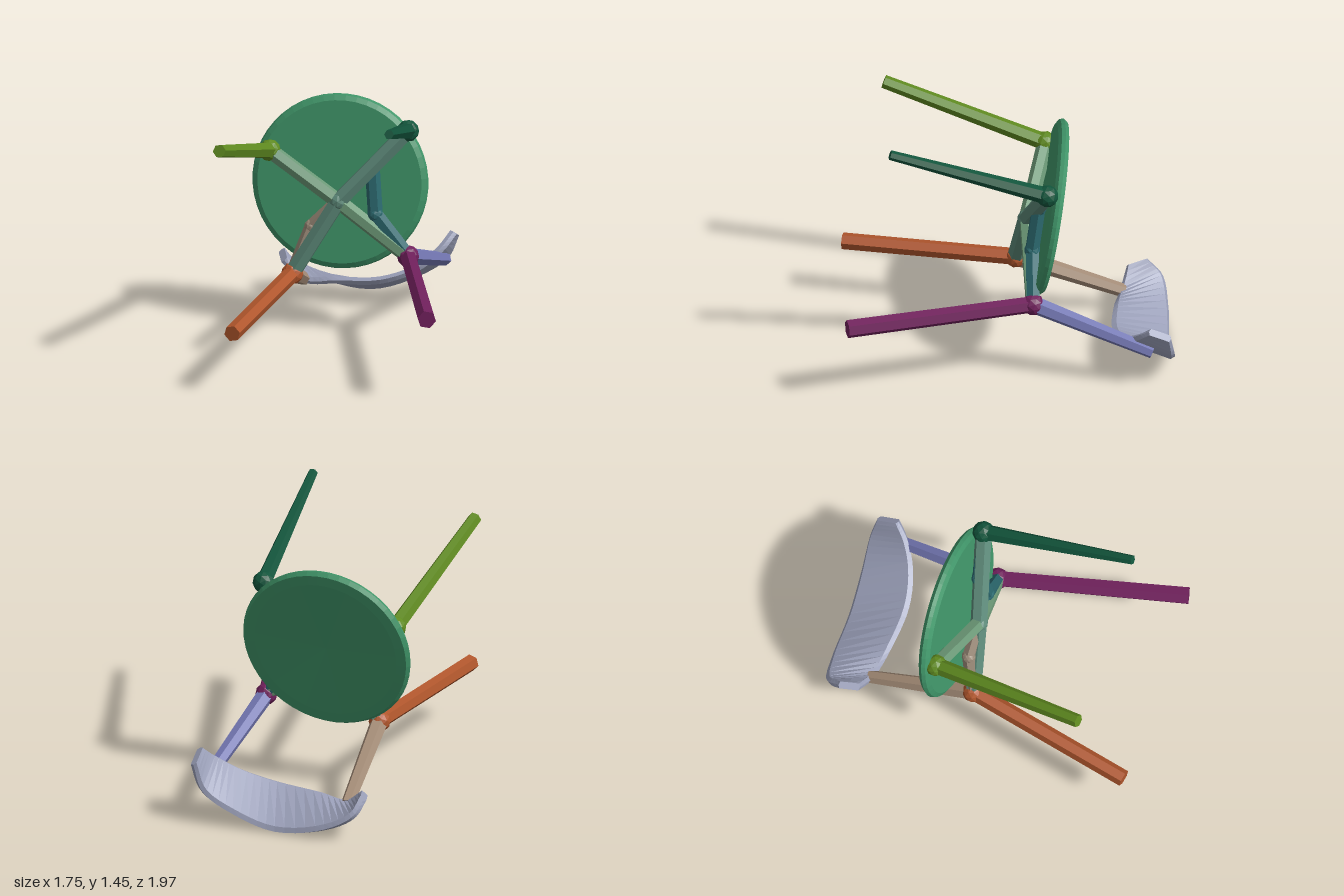
import * as THREE from 'three';

const V = (x, y, z) => new THREE.Vector3(x, y, z);
const UP = V(0, 1, 0);
const mat = (color, extra = {}) => new THREE.MeshStandardMaterial({ color, flatShading: true, ...extra });

// Faceted tapered bar between two points
function bar(name, a, b, ra, rb, color) {
  const dir = b.clone().sub(a);
  const mesh = new THREE.Mesh(new THREE.CylinderGeometry(rb, ra, dir.length(), 6), mat(color));
  mesh.position.copy(a).lerp(b, 0.5);
  mesh.quaternion.setFromUnitVectors(UP, dir.normalize());
  mesh.name = name;
  return mesh;
}

// Chain of bars with a knuckle at each bend
function bentBar(name, points, r, color) {
  const group = new THREE.Group();
  group.name = name;
  points.forEach((p, i) => {
    if (i === 0) return;
    group.add(bar(name + 'Segment', points[i - 1], p, r, r, color));
    if (i < points.length - 1) group.add(knuckle(name + 'Bend', p, r, color));
  });
  return group;
}

function knuckle(name, p, r, color) {
  const mesh = new THREE.Mesh(new THREE.IcosahedronGeometry(r * 1.08, 1), mat(color));
  mesh.position.copy(p);
  mesh.name = name;
  return mesh;
}

// Curved panel lofted between a near edge and a far edge
function curvedPanel(near, far, thickness) {
  const n = new THREE.CatmullRomCurve3(near), f = new THREE.CatmullRomCurve3(far);
  const steps = 28, pos = [], idx = [];
  for (let i = 0; i <= steps; i++) {
    const t = i / steps, a = n.getPoint(t), b = f.getPoint(t);
    const across = b.clone().sub(a);
    const along = n.getTangent(t).add(f.getTangent(t));
    const off = along.cross(across).normalize().multiplyScalar(thickness / 2);
    const inset = across.multiplyScalar(0.06);
    const a2 = a.clone().add(inset), b2 = b.clone().sub(inset);
    const ring = [a, a2.clone().add(off), b2.clone().add(off), b, b2.clone().sub(off), a2.clone().sub(off)];
    ring.forEach(p => pos.push(p.x, p.y, p.z));
  }
  for (let i = 0; i < steps; i++) {
    for (let j = 0; j < 6; j++) {
      const p = i * 6 + j, q = i * 6 + (j + 1) % 6;
      idx.push(p, p + 6, q, q, p + 6, q + 6);
    }
  }
  const e = steps * 6;
  for (let j = 1; j < 5; j++) idx.push(0, j, j + 1, e, e + j + 1, e + j);
  const geo = new THREE.BufferGeometry();
  geo.setAttribute('position', new THREE.Float32BufferAttribute(pos, 3));
  geo.setIndex(idx);
  geo.computeVertexNormals();
  return geo;
}

export function createModel() {
  const chair = new THREE.Group();
  chair.name = 'tippedChair';

  // Round seat with a softened rim
  const profile = [[0, -0.03], [0.44, -0.03], [0.465, -0.015], [0.472, 0.005], [0.455, 0.026], [0.4, 0.028], [0, 0.02]]
    .map(([x, y]) => new THREE.Vector2(x, y));
  const seat = new THREE.Mesh(new THREE.LatheGeometry(profile, 48), mat(0x3f9468));
  seat.position.set(0.09, 0.84, -0.28);
  seat.quaternion.setFromUnitVectors(UP, V(0.53, -0.165, -0.83).normalize());
  seat.name = 'seat';
  chair.add(seat);

  // Legs: joint under the seat rim to foot
  const joints = {
    frontRight: V(-0.24, 1.0, -0.46), frontLeft: V(0.39, 1.15, -0.07),
    backRight: V(-0.2, 0.37, -0.25), backLeft: V(0.36, 0.47, 0.0),
  };
  const legs = [
    ['frontRight', V(-0.81, 1.3, 0.19), 0.045, 0.036, 0x5f8a20],
    ['frontLeft', V(-0.03, 1.435, 0.65), 0.045, 0.026, 0x12553c],
    ['backRight', V(-0.84, 0.355, 0.43), 0.045, 0.045, 0xb0562c],
    ['backLeft', V(0.05, 0.487, 0.97), 0.045, 0.05, 0x70205c],
  ];
  for (const [key, foot, r0, r1, color] of legs) {
    chair.add(bar(key + 'Leg', joints[key], foot, r0, r1, color));
    chair.add(knuckle(key + 'Joint', joints[key], 0.055, color));
  }

  // Posts continuing the back legs up to the backrest
  chair.add(bar('backRightPost', joints.backRight, V(0.08, 0.13, -0.75), 0.048, 0.036, 0xa58d78));
  chair.add(bar('backLeftPost', joints.backLeft, V(0.78, 0.23, -0.48), 0.048, 0.036, 0x7478b4));

  // Crossed braces and side rails under the seat
  const hub = V(0.03, 0.77, -0.17);
  chair.add(bentBar('diagonalBraceOne', [joints.frontLeft, hub, joints.backRight], 0.046, 0x5c8878));
  chair.add(bentBar('diagonalBraceTwo', [joints.frontRight, hub, joints.backLeft], 0.042, 0x6d9a78));
  chair.add(bentBar('leftSideRail',
    [joints.frontLeft, V(0.21, 0.95, -0.13), V(0.21, 0.7, -0.09), joints.backLeft], 0.04, 0x2c6a70));
  chair.add(bentBar('rightSideRail',
    [hub, V(-0.09, 0.62, -0.25), joints.backRight], 0.036, 0x9a8a78));

  // Curved backrest
  const near = [V(0, 0.22, -0.82), V(0.08, 0.13, -0.72), V(0.2, 0.15, -0.61), V(0.4, 0.17, -0.47),
    V(0.58, 0.23, -0.41), V(0.72, 0.32, -0.41), V(0.81, 0.39, -0.44)];
  const far = [V(0.03, 0.24, -0.93), V(0.1, 0.16, -0.98), V(0.25, 0.07, -0.92), V(0.48, 0.02, -0.78),
    V(0.68, 0.09, -0.67), V(0.83, 0.2, -0.59), V(0.87, 0.34, -0.54)];
  const back = new THREE.Mesh(curvedPanel(near, far, 0.04), mat(0x9a9fb8, { side: THREE.DoubleSide }));
  back.name = 'backrest';
  chair.add(back);

  return chair;
}
